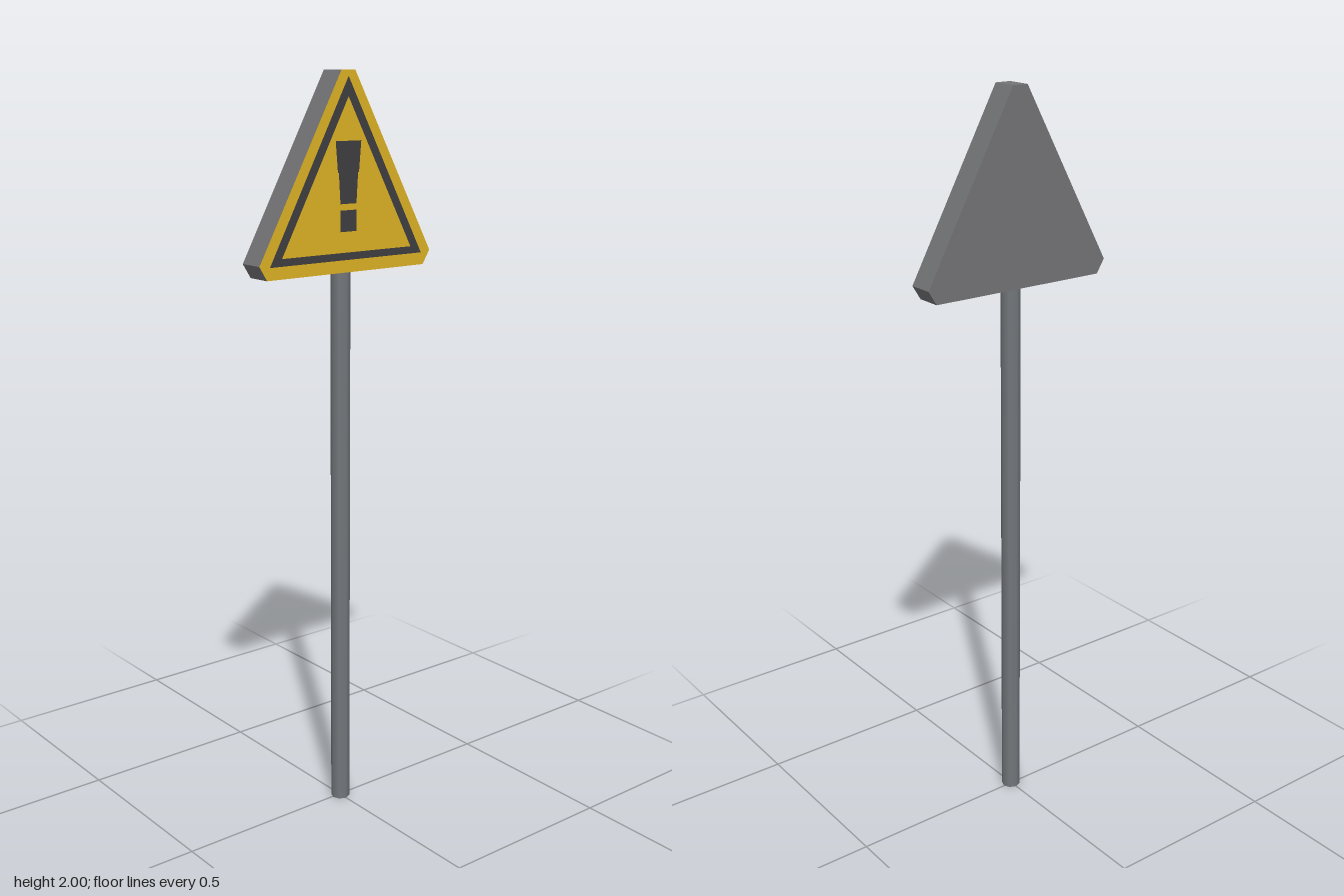
import * as THREE from 'three';

const mat = (name, color) => {
  const m = new THREE.MeshStandardMaterial({ color });
  m.name = name;
  return m;
};

// Closed shape, mirrored in x from its right-hand points (listed bottom to top)
const mirrored = (pts) => new THREE.Shape([
  ...pts.map(([x, y]) => new THREE.Vector2(x, y)),
  ...pts.filter(([x]) => x > 0).reverse().map(([x, y]) => new THREE.Vector2(-x, y)),
]);

export function createModel() {
  const group = new THREE.Group();
  const poleGrey = mat('pole grey', 0x73777b);
  const metalGrey = mat('sign metal grey', 0x737476);
  const yellow = mat('warning yellow', 0xdcb024);
  const black = mat('marking black', 0x3e3e41);

  const add = (name, geometry, material, z = 0) => {
    const mesh = new THREE.Mesh(geometry, material);
    mesh.name = name;
    mesh.position.z = z;
    group.add(mesh);
    return mesh;
  };

  // Post
  const pole = add('pole', new THREE.CylinderGeometry(0.026, 0.026, 1.51, 8), poleGrey, 0.003);
  pole.position.y = 0.755;

  // Triangular sign body with clipped corners
  const outline = mirrored([[0.255, 1.498], [0.278, 1.535], [0.022, 2]]);
  add('signBody', new THREE.ExtrudeGeometry(outline, { depth: 0.07, bevelEnabled: false }), metalGrey, -0.036);

  // Painted front face
  add('signFace', new THREE.ShapeGeometry(outline), yellow, 0.035);

  // Triangular border
  const border = mirrored([[0.247, 1.53], [0, 1.985]]);
  border.holes.push(mirrored([[0.21, 1.549], [0, 1.936]]));
  add('border', new THREE.ShapeGeometry(border), black, 0.036);

  // Warning mark: stepped tapering bar and a square dot
  const bar = mirrored([[0.026, 1.672], [0.031, 1.75], [0.034, 1.75], [0.041, 1.828]]);
  add('warningBar', new THREE.ShapeGeometry(bar), black, 0.036);
  const dot = mirrored([[0.026, 1.602], [0.026, 1.656]]);
  add('warningDot', new THREE.ShapeGeometry(dot), black, 0.036);

  return group;
}
